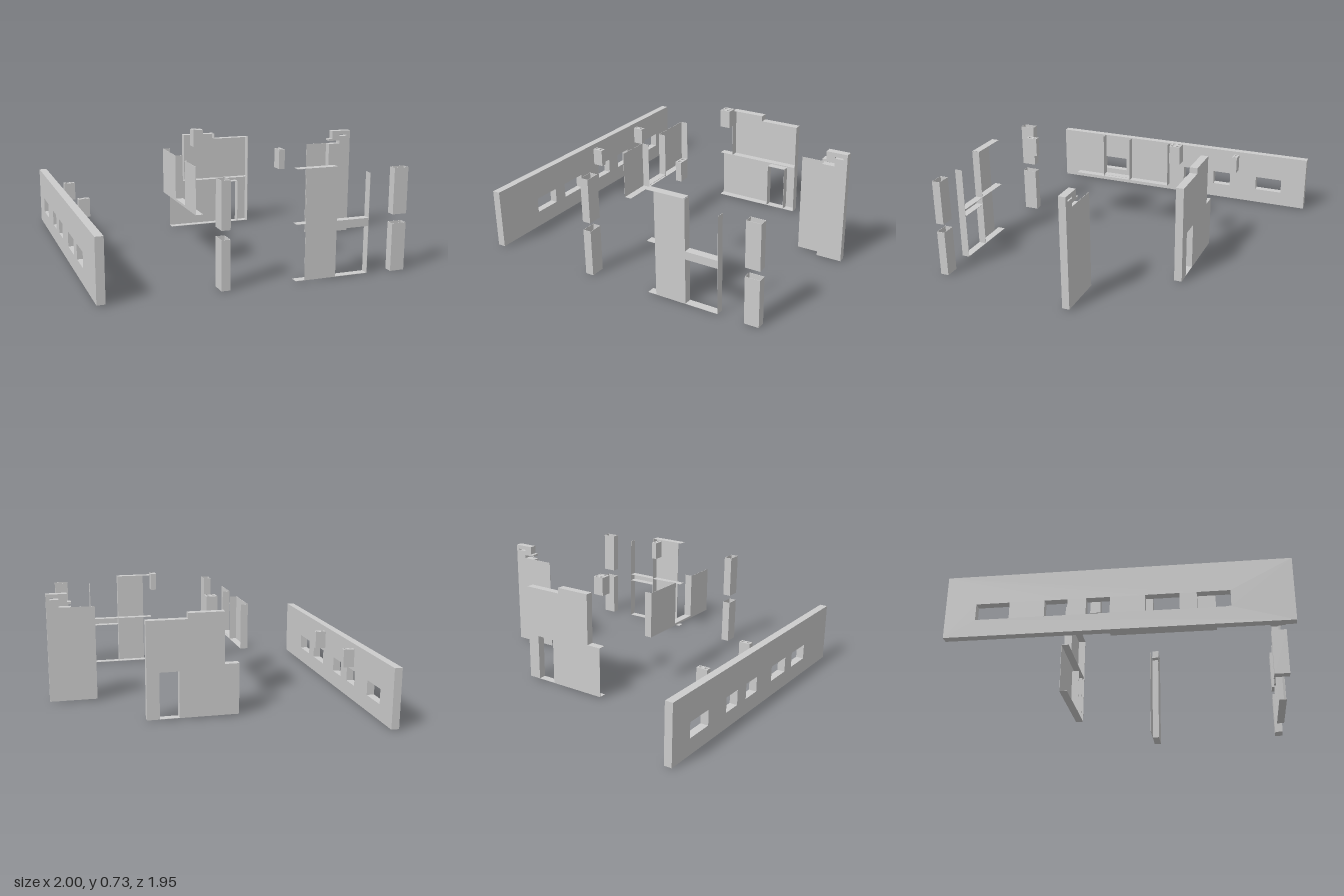
import * as THREE from 'three';

const material = new THREE.MeshStandardMaterial({ color: 0xcccccc, flatShading: true, side: THREE.DoubleSide });
const T = 0.002; // sheet thickness

function add(parent, name, geometry) {
  const mesh = new THREE.Mesh(geometry, material);
  mesh.name = name;
  parent.add(mesh);
  return mesh;
}

// Box given by its limits on each axis
function block(parent, name, [x0, x1], [y0, y1], [z0, z1]) {
  const mesh = add(parent, name, new THREE.BoxGeometry(x1 - x0, y1 - y0, z1 - z0));
  mesh.position.set((x0 + x1) / 2, (y0 + y1) / 2, (z0 + z1) / 2);
  return mesh;
}

function outline(points) {
  return new THREE.Shape(points.map(([x, y]) => new THREE.Vector2(x, y)));
}

function rectangle(x0, x1, y0, y1) {
  return [[x0, y0], [x1, y0], [x1, y1], [x0, y1]];
}

function extrude(shape, depth) {
  return new THREE.ExtrudeGeometry(shape, { depth, bevelEnabled: false, curveSegments: 8 });
}

function group(parent, name) {
  const g = new THREE.Group();
  g.name = name;
  parent.add(g);
  return g;
}

// Long wall with five window openings, drawn along z
function longWall(root) {
  const shape = outline(rectangle(-0.973, 0.973, 0.01, 0.39));
  for (const [a, b] of [[0.445, 0.63], [0.16, 0.35], [-0.17, -0.036], [-0.405, -0.275], [-0.797, -0.605]]) {
    shape.holes.push(outline(rectangle(-b, -a, 0.112, 0.21)));
  }
  const geometry = extrude(shape, 0.05);
  geometry.rotateY(Math.PI / 2);
  add(root, 'longWall', geometry).position.x = -1;
}

// Flue block with a grid of round channels running through it
function flueBlock(root, x, y, z, width, depth, columns, rows) {
  const shape = outline(rectangle(-width / 2, width / 2, -depth / 2, depth / 2));
  for (let i = 0; i < columns; i++) {
    for (let j = 0; j < rows; j++) {
      const hole = new THREE.Path();
      hole.absarc(((i + 0.5) / columns - 0.5) * width, ((j + 0.5) / rows - 0.5) * depth, 0.0105, 0, Math.PI * 2, true);
      shape.holes.push(hole);
    }
  }
  const geometry = extrude(shape, 0.117);
  geometry.rotateX(-Math.PI / 2);
  add(root, 'flueBlock', geometry).position.set(x, y, z);
}

// Open-topped hollow column section
function column(root, [x0, x1], [y0, y1], [z0, z1]) {
  const g = group(root, 'column');
  block(g, 'columnBase', [x0, x1], [y0, y0 + T], [z0, z1]);
  for (const x of [x0, x1 - T]) block(g, 'columnSide', [x, x + T], [y0, y1], [z0, z1]);
  for (const z of [z0, z1 - T]) block(g, 'columnFace', [x0, x1], [y0, y1], [z, z + T]);
}

// Rear wall: outer skin with a doorway, plus ledges and reveals on its inner side
function rearWall(root) {
  const g = group(root, 'rearWall');
  const skin = outline([
    [-0.145, 0.01], [0.235, 0.01], [0.235, 0.31], [0.36, 0.31], [0.36, 0.01], [0.44, 0.01],
    [0.44, 0.635], [0.18, 0.635], [0.18, 0.672], [-0.05, 0.672], [-0.05, 0.34], [-0.145, 0.34]
  ]);
  add(g, 'rearSkin', extrude(skin, T)).position.z = -0.49;
  const z = [-0.49, -0.44];
  for (const [x0, x1, y] of [[-0.145, 0.44, 0.01], [-0.145, 0.44, 0.338], [-0.05, 0.18, 0.67], [0.18, 0.44, 0.633], [0.235, 0.36, 0.31]]) {
    block(g, 'rearLedge', [x0, x1], [y, y + T], z);
  }
  for (const [x, y0, y1] of [[-0.05, 0.34, 0.67], [0.438, 0.01, 0.635], [0.233, 0.01, 0.31], [0.36, 0.01, 0.31], [0.178, 0.635, 0.67]]) {
    block(g, 'rearReveal', [x, x + T], [y0, y1], z);
  }
}

// Front wall: panel with lintel, open doorway and window reveals
function frontWall(root) {
  const g = group(root, 'frontWall');
  const z = [0.92, 0.97];
  block(g, 'frontPanel', [0.225, 0.425], [0.01, 0.67], [0.968, 0.97]);
  block(g, 'lintelFace', [0.425, 0.635], [0.3, 0.35], [0.968, 0.97]);
  for (const [x0, x1, y] of [[0.17, 0.635, 0.01], [0.425, 0.635, 0.3], [0.17, 0.635, 0.348], [0.17, 0.42, 0.67]]) {
    block(g, 'frontLedge', [x0, x1], [y, y + T], z);
  }
  for (const [x, y1] of [[0.423, 0.67], [0.634, 0.62]]) {
    block(g, 'frontReveal', [x, x + T], [0.01, y1], z);
  }
}

// Inner wall: two panels on a common sill, with an opening between them
function innerWall(root) {
  const g = group(root, 'innerWall');
  const x = [-0.293, -0.245];
  block(g, 'innerSill', x, [0.34, 0.342], [-0.145, 0.538]);
  for (const [z0, z1] of [[0.328, 0.538], [-0.145, 0.135]]) {
    block(g, 'innerPanel', [-0.293, -0.291], [0.34, 0.637], [z0, z1]);
  }
  block(g, 'openingSill', [-0.293, -0.291], [0.34, 0.355], [0.135, 0.328]);
  block(g, 'openingLedge', x, [0.353, 0.355], [0.135, 0.328]);
  for (const z of [0.328, 0.133, -0.145]) block(g, 'innerReveal', x, [0.34, 0.637], [z, z + T]);
}

// Side wall: thin sheet beside a thick pier with a stepped, slotted head
function sideWall(root) {
  const g = group(root, 'sideWall');
  block(g, 'sideSheet', [0.69, 0.84], [0.01, 0.637], [0.013, 0.015]);
  const pier = outline([
    [0.84, 0.01], [1, 0.01], [1, 0.725], [0.865, 0.725], [0.865, 0.672],
    [0.84, 0.672], [0.84, 0.658], [0.92, 0.658], [0.92, 0.637], [0.84, 0.637]
  ]);
  pier.holes.push(outline(rectangle(0.92, 0.975, 0.688, 0.698)));
  add(g, 'pier', extrude(pier, 0.047)).position.z = 0.013;
}

export function createModel() {
  const root = new THREE.Group();
  root.name = 'wallPanels';
  longWall(root);
  rearWall(root);
  frontWall(root);
  innerWall(root);
  sideWall(root);
  // Two stacked sections for each column
  for (const y of [[0.003, 0.3], [0.355, 0.637]]) {
    column(root, [-0.289, -0.235], y, [0.875, 0.97]);
    column(root, [0.8, 0.892], y, [0.913, 0.966]);
  }
  flueBlock(root, -0.873, 0.265, -0.461, 0.072, 0.037, 2, 1);
  flueBlock(root, -0.873, 0.265, 0.041, 0.072, 0.037, 2, 1);
  flueBlock(root, -0.008, 0.617, -0.286, 0.07, 0.07, 2, 2);
  flueBlock(root, 0.203, 0.617, 0.641, 0.037, 0.07, 1, 2);
  return root;
}
